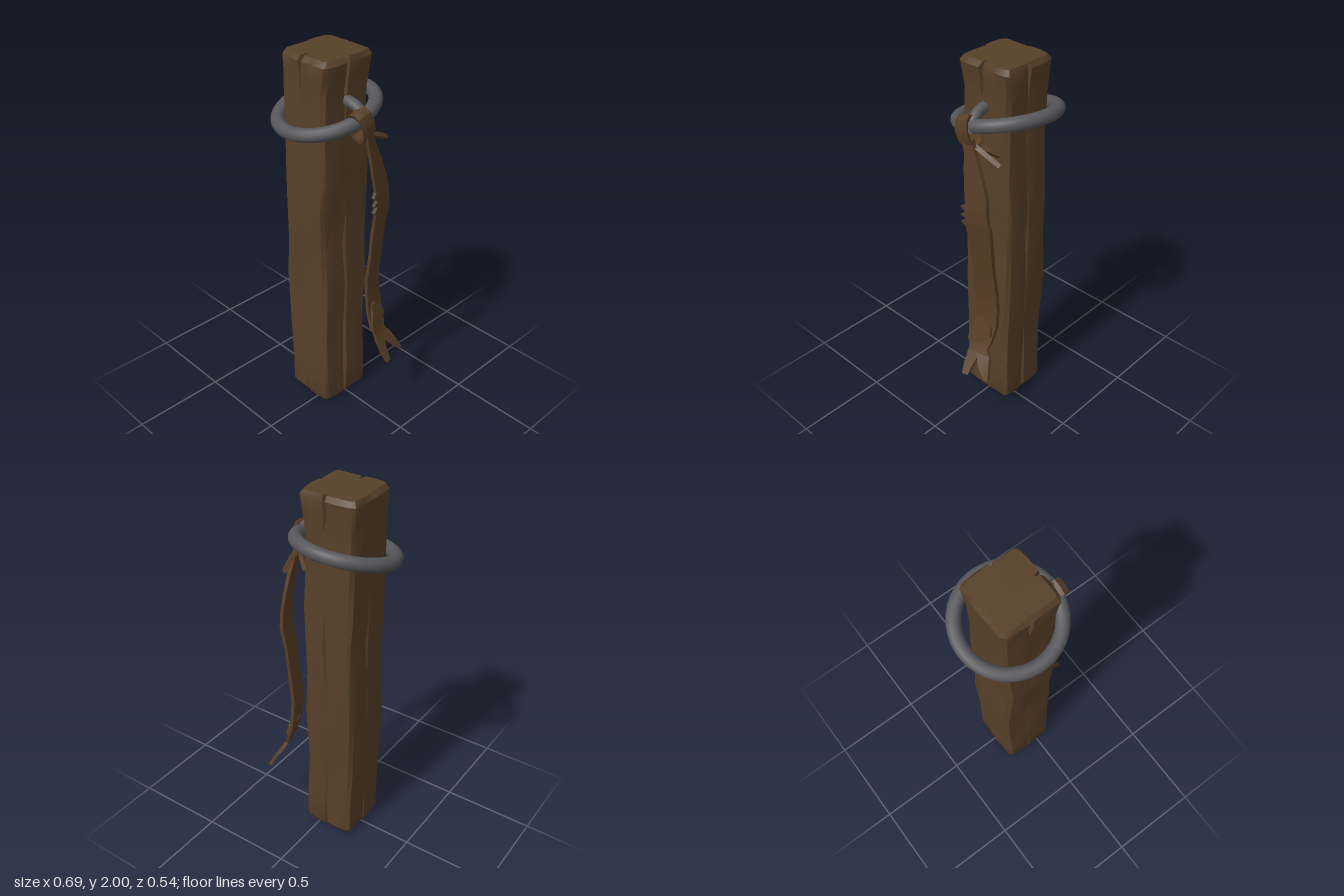
import * as THREE from 'three';
import { toCreasedNormals } from 'three/addons/utils/BufferGeometryUtils.js';

// Skins a stack of equal-length loops (bottom to top, anticlockwise from above) and caps both ends
function loft(loops, crease = 0.6) {
  const n = loops[0].length, pos = loops.flat(2), idx = [];
  for (let j = 0; j < loops.length - 1; j++) {
    for (let i = 0; i < n; i++) {
      const a = j * n + i, b = j * n + (i + 1) % n;
      idx.push(a, b, b + n, a, b + n, a + n);
    }
  }
  [[0, true], [loops.length - 1, false]].forEach(([j, bottom]) => {
    const c = pos.length / 3;
    for (let k = 0; k < 3; k++) pos.push(loops[j].reduce((s, p) => s + p[k], 0) / n);
    for (let i = 0; i < n; i++) {
      const a = j * n + i, b = j * n + (i + 1) % n;
      if (bottom) idx.push(c, b, a); else idx.push(c, a, b);
    }
  });
  const g = new THREE.BufferGeometry();
  g.setAttribute('position', new THREE.Float32BufferAttribute(pos, 3));
  g.setIndex(idx);
  return toCreasedNormals(g, crease);
}

// Hewn beam: rounded square section that wobbles with height, split by cracks
function postGeometry() {
  // y, left x, right x, back z, front z, crack depths (front, right, back, left)
  const rows = [
    [0.0, -0.19, 0.07, -0.13, 0.145, 0.02, 0.04, 0.02, 0.01],
    [0.03, -0.207, 0.085, -0.147, 0.163, 0.01, 0.045, 0.02, 0.01],
    [0.2, -0.206, 0.085, -0.145, 0.163, 0, 0.025, 0.01, 0],
    [0.45, -0.212, 0.078, -0.14, 0.162, 0, 0.02, 0, 0],
    [0.75, -0.22, 0.085, -0.155, 0.165, 0, 0.012, 0, 0],
    [1.0, -0.208, 0.072, -0.148, 0.168, 0, 0.01, 0.01, 0],
    [1.22, -0.204, 0.074, -0.158, 0.178, 0, 0, 0.01, 0.01],
    [1.4, -0.21, 0.084, -0.15, 0.17, 0, 0, 0, 0],
    [1.62, -0.207, 0.078, -0.143, 0.164, 0, 0, 0, 0],
    [1.82, -0.211, 0.077, -0.142, 0.162, 0, 0.01, 0.005, 0],
    [1.9, -0.215, 0.083, -0.148, 0.163, 0.02, 0.025, 0.015, 0],
    [1.975, -0.221, 0.095, -0.153, 0.166, 0.045, 0.035, 0.025, 0.005],
    [2.0, -0.205, 0.08, -0.14, 0.148, 0.045, 0.03, 0.02, 0.005],
  ];
  const ts = [-0.87, -0.45, -0.13, -0.06, 0.01, 0.45, 0.87];
  return loft(rows.map(([y, x0, x1, z0, z1, ...cracks], j) => {
    const loop = [];
    for (let s = 0; s < 4; s++) {
      ts.forEach((t, i) => {
        const corner = Math.abs(t) > 0.8;
        const wob = corner ? 0.02 : 0.03 * Math.sin(j * 1.9 + s * 2 + i);
        const d = 1 - (i === 3 ? cracks[s] / 0.15 : 0) - wob;
        const tt = corner ? t + 0.04 * Math.sin(j * 1.3 + s) : t;
        const [u, v] = [[tt, d], [d, -tt], [-tt, -d], [-d, tt]][s];
        loop.push([(x0 + x1) / 2 + u * (x1 - x0) / 2, y, (z0 + z1) / 2 + v * (z1 - z0) / 2]);
      });
    }
    return loop;
  }), 0.55);
}

// Flat leather strip; rows are [x, y, front z, back z] from bottom to top
function strip(rows, t = 0.01) {
  return loft(rows.map(([x, y, a, b]) => {
    const k = 0.25, m = -0.085, xa = x + k * (a - m), xb = x + k * (b - m);
    return [[xa - t, y, a], [xa + t, y, a], [xb + t, y, b], [xb - t, y, b]];
  }), 0.5);
}

const tube = (pts, r, sides, segs) => new THREE.TubeGeometry(
  new THREE.CatmullRomCurve3(pts.map(p => new THREE.Vector3(...p))), segs, r, sides, false);

export function createModel() {
  const group = new THREE.Group();
  const mat = (name, color, extra = {}) => Object.assign(new THREE.MeshStandardMaterial({ color, ...extra }), { name });
  const wood = mat('wood', 0x574029);
  const leather = mat('leather', 0x573d25, { side: THREE.DoubleSide });
  const iron = mat('iron', 0x58585c);
  const add = (name, geo, m, parent = group) => {
    const mesh = new THREE.Mesh(geo, m);
    mesh.name = name;
    parent.add(mesh);
    return mesh;
  };

  add('post', postGeometry(), wood);

  // Tilted ring around the post, held by a bent peg
  const ring = add('ring', new THREE.TorusGeometry(0.243, 0.035, 12, 40), iron);
  ring.quaternion.setFromUnitVectors(new THREE.Vector3(0, 0, 1), new THREE.Vector3(-0.08, 1, 0.25).normalize());
  ring.position.set(-0.073, 1.7, 0);
  add('peg', tube([[0.03, 1.78, 0.005], [0.1, 1.78, 0.005], [0.16, 1.75, 0], [0.185, 1.69, 0]], 0.028, 10, 10), iron);

  const strap = new THREE.Group();
  strap.name = 'strap';
  group.add(strap);

  // Band looped over the ring
  const profile = [[0.042, -0.035], [0.056, -0.04], [0.06, 0], [0.056, 0.04], [0.042, 0.035], [0.042, -0.035]];
  const band = new THREE.LatheGeometry(profile.map(p => new THREE.Vector2(...p)), 10);
  band.rotateX(Math.PI / 2).scale(0.95, 1.5, 1);
  const loop = add('strapLoop', toCreasedNormals(band, 0.6), leather, strap);
  loop.position.set(0.175, 1.69, 0.01);
  loop.rotation.set(0.3, 0, -0.1);

  // Hanging length with torn front edge
  add('strapLength', strip([
    [0.255, 0.43, -0.04, -0.165], [0.232, 0.475, -0.045, -0.14], [0.222, 0.5, -0.03, -0.15],
    [0.19, 0.6, -0.03, -0.16], [0.175, 0.7, -0.035, -0.155], [0.173, 0.8, -0.03, -0.15],
    [0.192, 0.95, -0.035, -0.145], [0.207, 1.1, -0.03, -0.148], [0.227, 1.22, -0.025, -0.157],
    [0.23, 1.24, -0.002, -0.152], [0.23, 1.265, -0.032, -0.148], [0.23, 1.28, 0, -0.145],
    [0.23, 1.3, -0.03, -0.142], [0.228, 1.325, 0, -0.14], [0.225, 1.345, -0.025, -0.137],
    [0.217, 1.4, -0.018, -0.13], [0.205, 1.5, -0.005, -0.095], [0.188, 1.6, 0.005, -0.055],
    [0.185, 1.67, 0.02, -0.035],
  ]), leather, strap);
  add('strapFold', strip([
    [0.228, 0.5, -0.025, -0.09], [0.215, 0.55, -0.03, -0.15], [0.2, 0.6, -0.05, -0.14], [0.187, 0.64, -0.06, -0.09],
  ], 0.016), leather, strap);

  // Split end
  add('frontProng', strip([[0.32, 0.325, -0.055, -0.09], [0.285, 0.38, -0.045, -0.095], [0.25, 0.44, -0.04, -0.11]]), leather, strap);
  add('backProng', strip([[0.32, 0.33, -0.185, -0.21], [0.29, 0.385, -0.13, -0.19], [0.25, 0.44, -0.09, -0.165]]), leather, strap);

  // Loose tails at the knot
  [[[0.185, 1.64, -0.01], [0.18, 1.61, -0.09], [0.165, 1.57, -0.17]],
    [[0.18, 1.62, -0.02], [0.14, 1.605, -0.06], [0.09, 1.57, -0.1]]].forEach(p =>
    add('strapTail', toCreasedNormals(tube(p, 0.016, 4, 4), 0.6), leather, strap));

  return group;
}
